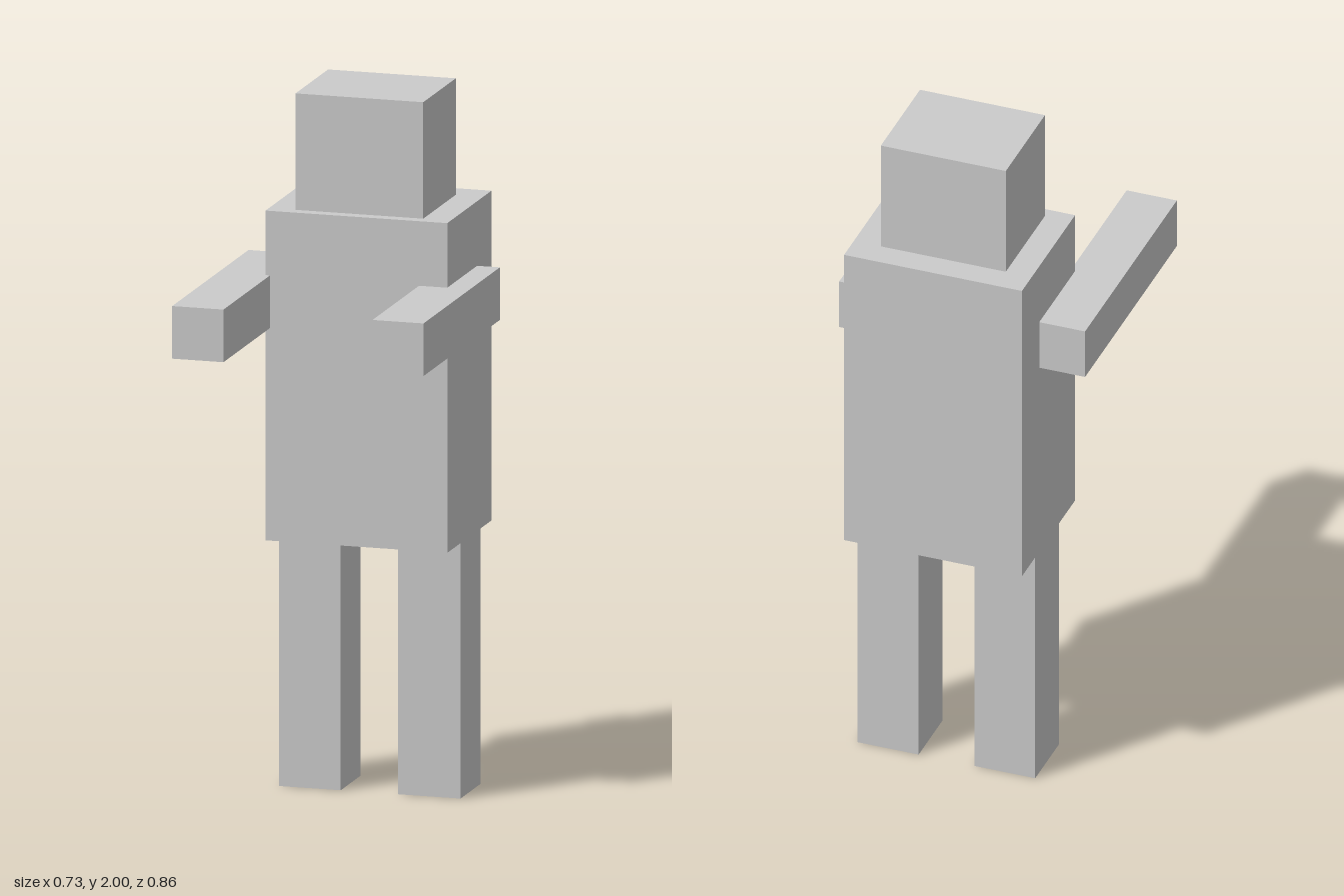
import * as THREE from 'three';

export function createModel() {
  const model = new THREE.Group();
  const material = new THREE.MeshStandardMaterial({ color: 0xcccccc, flatShading: true });

  // Adds a box spanning the given [min, max] range on each axis
  function addBox(name, [x0, x1], [y0, y1], [z0, z1]) {
    const mesh = new THREE.Mesh(new THREE.BoxGeometry(x1 - x0, y1 - y0, z1 - z0), material);
    mesh.position.set((x0 + x1) / 2, (y0 + y1) / 2, (z0 + z1) / 2);
    mesh.name = name;
    model.add(mesh);
  }

  // Head and body
  addBox('head', [-0.153, 0.218], [1.668, 2], [-0.352, -0.044]);
  addBox('torso', [-0.23, 0.298], [0.728, 1.668], [-0.429, -0.011]);

  // Legs, flush with the sides of the torso
  const legDepth = [-0.325, -0.136];
  addBox('rightLeg', [-0.23, -0.05], [0, 0.728], legDepth);
  addBox('leftLeg', [0.116, 0.298], [0, 0.728], legDepth);

  // Arms stretched forward, partly sunk into the torso
  const armHeight = [1.334, 1.484];
  const armDepth = [-0.293, 0.429];
  addBox('rightArm', [-0.366, -0.217], armHeight, armDepth);
  addBox('leftArm', [0.216, 0.364], armHeight, armDepth);

  return model;
}
